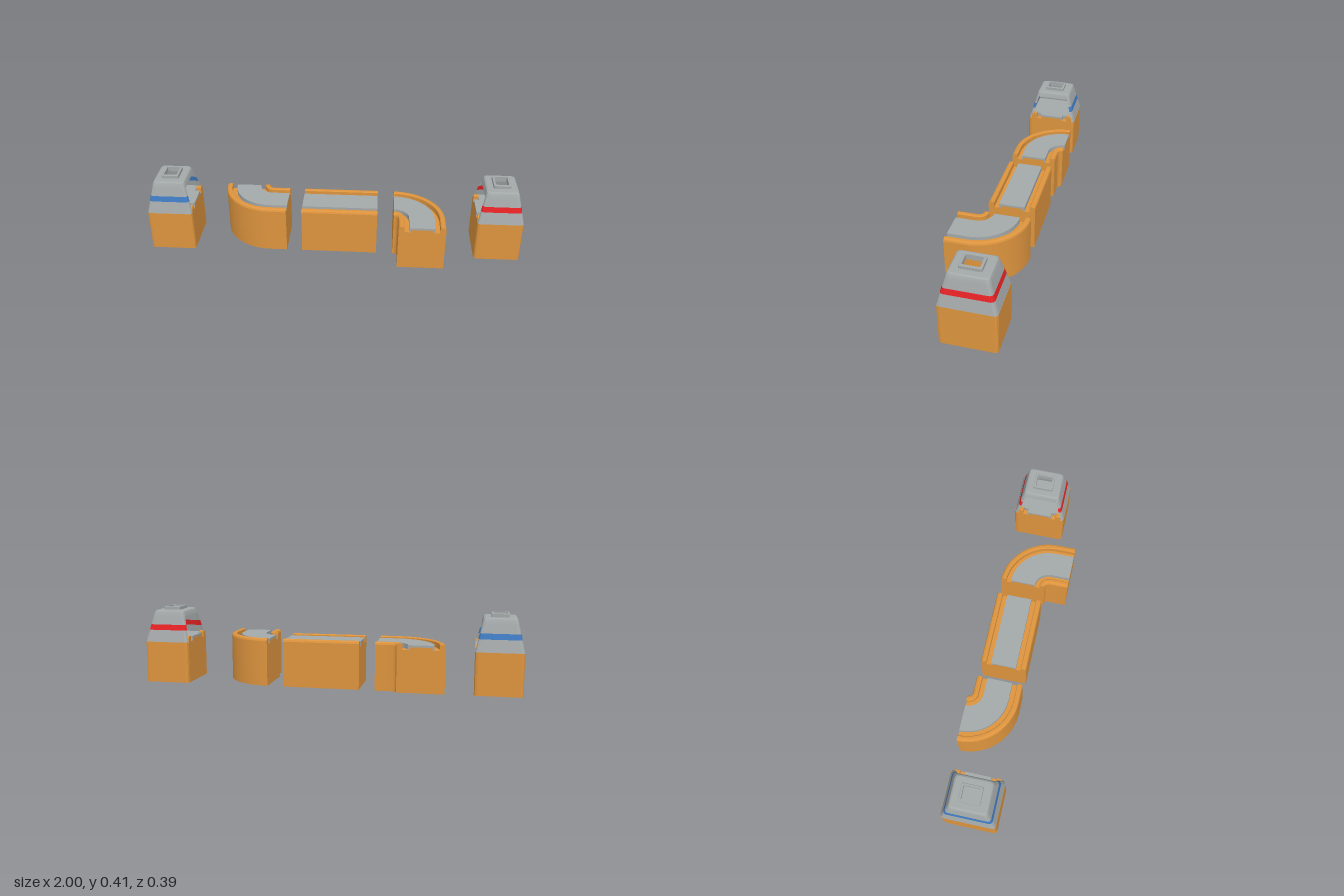
import * as THREE from 'three';
import { toCreasedNormals } from 'three/addons/utils/BufferGeometryUtils.js';

const V = (x, y, z) => new THREE.Vector3(x, y, z);
const TRACK_Z = -0.0505;

// Skin closed loops of points. With a 2D contour both ends are closed,
// and the strip from the last point back to the first stays open.
function loft(rings, contour) {
  const n = rings[0].length;
  const index = [];
  for (let i = 0; i < rings.length - 1; i++) {
    for (let j = 0; j < (contour ? n - 1 : n); j++) {
      const k = (j + 1) % n;
      const a = i * n + j, b = i * n + k, c = b + n, d = a + n;
      index.push(a, b, c, a, c, d);
    }
  }
  if (contour) {
    const last = (rings.length - 1) * n;
    for (const [a, b, c] of THREE.ShapeUtils.triangulateShape(contour, [])) {
      index.push(c, b, a, last + a, last + b, last + c);
    }
  }
  const geometry = new THREE.BufferGeometry().setFromPoints(rings.flat());
  geometry.setIndex(index);
  return toCreasedNormals(geometry, 0.35);
}

// Sweep an (offset, height) profile along frames of position p and direction w.
function sweep(profile, frames) {
  const rings = frames.map(({ p, w }) => {
    const u = V(0, 1, 0).cross(w);
    return profile.map(([s, y]) => p.clone().addScaledVector(u, s).setY(y));
  });
  return loft(rings, profile.map(([s, y]) => new THREE.Vector2(s, y)));
}

const mirrored = half => [...half, ...half.slice().reverse().map(([s, y]) => [-s, y])];

// Track body, open below, with rounded rails and a gutter beside each rail.
const bodyProfile = bottom => mirrored([
  [0.1225, bottom], [0.1225, 0.24], [0.119, 0.249], [0.11, 0.253], [0.097, 0.253],
  [0.093, 0.249], [0.093, 0.222], [0.058, 0.222], [0.058, 0.236],
]);
// Road surface folded down over the centre block of the body.
const roadProfile = [
  [-0.058, 0.222], [-0.058, 0.236], [0.058, 0.236], [0.058, 0.222],
  [0.067, 0.222], [0.067, 0.247], [-0.067, 0.247], [-0.067, 0.222],
];

const straight = (x0, x1, z) => [x0, x1].map(x => ({ p: V(x, 0, z), w: V(1, 0, 0) }));

// Quarter turn about (cx, cz) with a straight run before or after it.
function bend(cx, cz, start, before, after) {
  const r = 0.146, steps = 20, frames = [];
  for (let i = 0; i <= steps; i++) {
    const a = start + (i / steps) * Math.PI / 2;
    frames.push({
      p: V(cx + r * Math.sin(a), 0, cz - r * Math.cos(a)),
      w: V(Math.cos(a), 0, Math.sin(a)),
    });
  }
  const first = frames[0], last = frames[steps];
  if (before) frames.unshift({ p: first.p.clone().addScaledVector(first.w, -before), w: first.w });
  if (after) frames.push({ p: last.p.clone().addScaledVector(last.w, after), w: last.w });
  return frames;
}

// Bevelled rectangle seen from above, starting and ending beside the +x face.
function rect(y, hx, hz, r) {
  const points = [];
  for (let k = 0; k < 4; k++) {
    const cx = (k === 0 || k === 3 ? 1 : -1) * (hx - r);
    const cz = (k < 2 ? -1 : 1) * (hz - r);
    for (let i = 0; i <= 2; i++) {
      const t = (k + i / 2) * Math.PI / 2;
      points.push(V(cx + r * Math.cos(t), y, cz - r * Math.sin(t)));
    }
  }
  return points;
}

// Tapered tower wall, and the C-shaped section where its side is open.
function wall(y, inset = 0) {
  const s = (y - 0.22) / 0.155;
  return rect(y, 0.1215 - 0.0355 * s - inset, 0.141 - 0.042 * s - inset, 0.016 - inset);
}
const openWall = y => [...wall(y), ...wall(y, 0.01).reverse()];

export function createModel() {
  const paint = (name, color) => new THREE.MeshStandardMaterial({ name, color });
  const orange = paint('orange', 0xdd943e);
  const grey = paint('grey', 0xa3a8a8);
  const red = paint('red', 0xe62225);
  const blue = paint('blue', 0x3f7ac0);
  // The orange shells are hollow and open below
  orange.side = THREE.DoubleSide;

  const model = new THREE.Group();
  const add = (parent, name, geometry, material) => {
    const mesh = new THREE.Mesh(geometry, material);
    mesh.name = name;
    parent.add(mesh);
    return mesh;
  };

  function track(parent, name, frames, bottom = 0) {
    const group = new THREE.Group();
    group.name = name;
    add(group, 'trackBody', sweep(bodyProfile(bottom), frames), orange);
    add(group, 'roadSurface', sweep(roadProfile, frames), grey);
    parent.add(group);
  }

  // Track pieces
  track(model, 'straightTrack', straight(-0.172, 0.232, TRACK_Z));
  track(model, 'leftCurve', bend(0.32, TRACK_Z + 0.146, 0, 0, 0.1));
  track(model, 'rightCurve', bend(-0.345, TRACK_Z - 0.146, Math.PI, 0.09, 0));

  // Hollow towers at both ends, open toward the track
  function tower(name, x, turn, stripe) {
    const group = new THREE.Group();
    group.name = name;
    // Base shell with a narrow ledge under the walls
    add(group, 'towerBase', loft([
      rect(0, 0.1215, 0.1415, 0.016), rect(0.22, 0.1215, 0.1415, 0.016),
      rect(0.22, 0.1, 0.12, 0.01),
    ]), orange);
    // Short rail ends in the opening and the floor behind them
    track(group, 'towerTrack', straight(0.095, 0.1215, 0), 0.22);
    const floor = add(group, 'towerFloor', new THREE.BoxGeometry(0.205, 0.02, 0.25), grey);
    floor.position.set(-0.0075, 0.236, 0);
    add(group, 'lowerWall', loft([openWall(0.22), openWall(0.283)]), grey);
    add(group, 'stripe', loft([openWall(0.283), openWall(0.312)]), stripe);
    add(group, 'upperWall', loft([openWall(0.312), openWall(0.355)]), grey);
    // Roof with a raised collar around a square hole
    add(group, 'roof', loft([
      wall(0.355, 0.01), wall(0.355), wall(0.375),
      rect(0.383, 0.082, 0.095, 0.015), rect(0.387, 0.075, 0.088, 0.013),
      rect(0.387, 0.045, 0.054, 0.006), rect(0.403, 0.045, 0.054, 0.006),
      rect(0.405, 0.043, 0.052, 0.005), rect(0.405, 0.034, 0.042, 0.003),
      rect(0.378, 0.034, 0.042, 0.003), wall(0.378, 0.01), wall(0.355, 0.01),
    ]), grey);
    group.position.set(x, 0, -0.048);
    group.rotation.y = turn;
    model.add(group);
  }
  tower('rightTower', -0.8785, 0, blue);
  tower('leftTower', 0.8785, Math.PI, red);

  return model;
}
